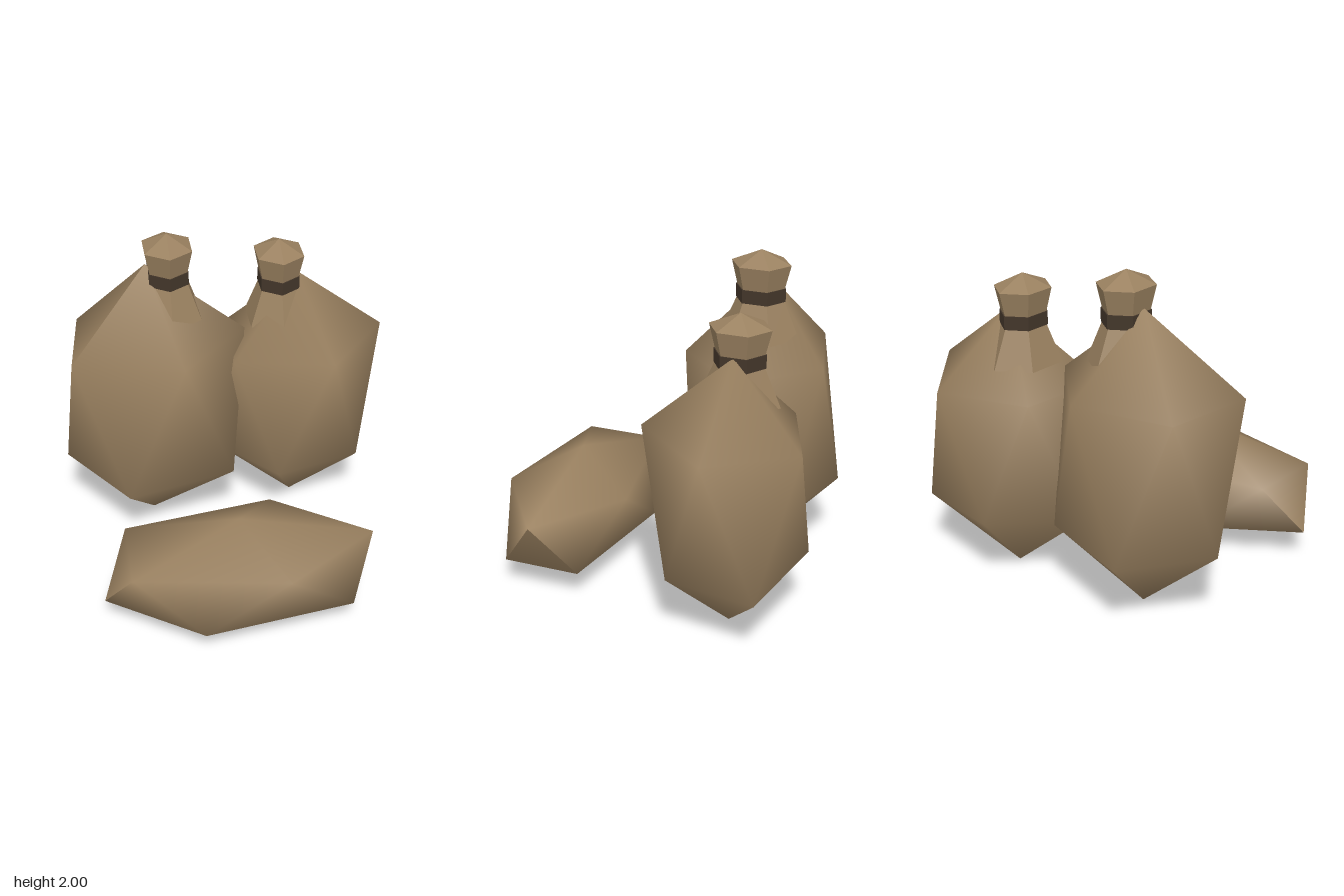
import * as THREE from 'three';

const cloth = new THREE.MeshStandardMaterial({ color: 0x9a8160 });
cloth.name = 'sackcloth';
const cord = new THREE.MeshStandardMaterial({ color: 0x43362a });
cord.name = 'dark cord';

// Smooth normals, except across edges sharper than the limit
function creasedGeometry(points, faces, limitDegrees) {
  const limit = Math.cos(THREE.MathUtils.degToRad(limitDegrees));
  const area = faces.map(([a, b, c]) =>
    points[b].clone().sub(points[a]).cross(points[c].clone().sub(points[a])));
  const unit = area.map((n) => n.clone().normalize());
  const positions = [], normals = [];
  faces.forEach((face, f) => face.forEach((v) => {
    // flood from this face through the fan of faces around the vertex
    const group = [f];
    for (const g of group) {
      faces.forEach((other, o) => {
        const shared = other.filter((p) => faces[g].includes(p)).length;
        if (other.includes(v) && shared === 2 && !group.includes(o) && unit[g].dot(unit[o]) > limit) group.push(o);
      });
    }
    const n = new THREE.Vector3();
    group.forEach((g) => n.add(unit[g]));
    n.normalize();
    positions.push(...points[v].toArray());
    normals.push(...n.toArray());
  }));
  const geometry = new THREE.BufferGeometry();
  geometry.setAttribute('position', new THREE.Float32BufferAttribute(positions, 3));
  geometry.setAttribute('normal', new THREE.Float32BufferAttribute(normals, 3));
  return geometry;
}

// Twenty-sided sack body: top point, two staggered rings of five, bottom point
function sackBody(name, top, upper, lower, bottom) {
  const points = [top, ...upper, ...lower, bottom].map((p) => new THREE.Vector3(...p));
  const faces = [];
  for (let i = 0; i < 5; i++) {
    const j = (i + 1) % 5;
    const u0 = 1 + i, u1 = 1 + j, l0 = 6 + i, l1 = 6 + j;
    faces.push([0, u1, u0], [u0, u1, l0], [u1, l1, l0], [11, l0, l1]);
  }
  const mesh = new THREE.Mesh(creasedGeometry(points, faces, 58), cloth);
  mesh.name = name;
  return mesh;
}

// Hexagonal ring of the gathered neck, flat shaded
function hexPart(name, material, rTop, rBottom, y0, y1, open) {
  const geometry = new THREE.CylinderGeometry(rTop, rBottom, y1 - y0, 6, 1, open)
    .translate(0, (y0 + y1) / 2, 0).scale(0.88, 1, 1).toNonIndexed();
  geometry.computeVertexNormals();
  const mesh = new THREE.Mesh(geometry, material);
  mesh.name = name;
  return mesh;
}

// Gathered neck, its origin at the peak
function sackNeck(name, x, y, z) {
  const neck = new THREE.Group();
  neck.name = name;
  neck.add(
    hexPart('neckPeak', cloth, 0, 0.18, -0.08, 0, true),
    hexPart('neckTop', cloth, 0.18, 0.145, -0.22, -0.08, true),
    hexPart('neckCord', cord, 0.152, 0.152, -0.3, -0.22, false),
    hexPart('neckSkirt', cloth, 0.145, 0.24, -0.52, -0.3, false),
  );
  neck.position.set(x, y, z);
  return neck;
}

// Five points of an elliptical ring
function ring(x, y, z, rx, rz, start) {
  return Array.from({ length: 5 }, (_, i) => {
    const a = start + (i * Math.PI * 2) / 5;
    return [x + rx * Math.cos(a), y, z + rz * Math.sin(a)];
  });
}

export function createModel() {
  const model = new THREE.Group();
  model.name = 'sacks';

  // Taller standing sack
  const tall = new THREE.Group();
  tall.name = 'tallSack';
  tall.add(
    sackBody('tallSackBody', [-0.47, 1.81, -0.44],
      [[0.12, 1.33, -0.44], [-0.29, 1.33, 0.01], [-0.94, 1.33, -0.15], [-0.88, 1.33, -0.69], [-0.3, 1.33, -0.84]],
      [[0.01, 0.47, -0.15], [-0.65, 0.46, 0.02], [-1, 0.5, -0.44], [-0.64, 0.47, -0.88], [-0.03, 0.47, -0.71]],
      [-0.47, 0.03, -0.44]),
    sackNeck('tallSackNeck', -0.338, 2, -0.435),
  );

  // Shorter standing sack
  const short = new THREE.Group();
  short.name = 'shortSack';
  short.add(
    sackBody('shortSackBody', [0.45, 1.64, -0.54],
      [[0.99, 1.23, -0.54], [0.61, 1.24, -0.07], [0.03, 1.2, -0.25], [0.07, 1.2, -0.79], [0.6, 1.2, -0.985]],
      [[0.82, 0.42, -0.29], [0.29, 0.44, -0.11], [-0.08, 0.44, -0.54], [0.29, 0.46, -0.96], [0.89, 0.41, -0.83]],
      [0.44, 0, -0.54]),
    sackNeck('shortSackNeck', 0.341, 1.86, -0.54),
  );

  // Sack lying in front
  const lying = sackBody('lyingSack', [-0.07, 0.695, 0.6],
    ring(-0.07, 0.51, 0.6, 0.79, 0.405, 0),
    ring(-0.07, 0.178, 0.6, 0.79, 0.4, Math.PI / 5),
    [-0.07, 0.005, 0.6]);

  model.add(tall, short, lying);
  return model;
}
